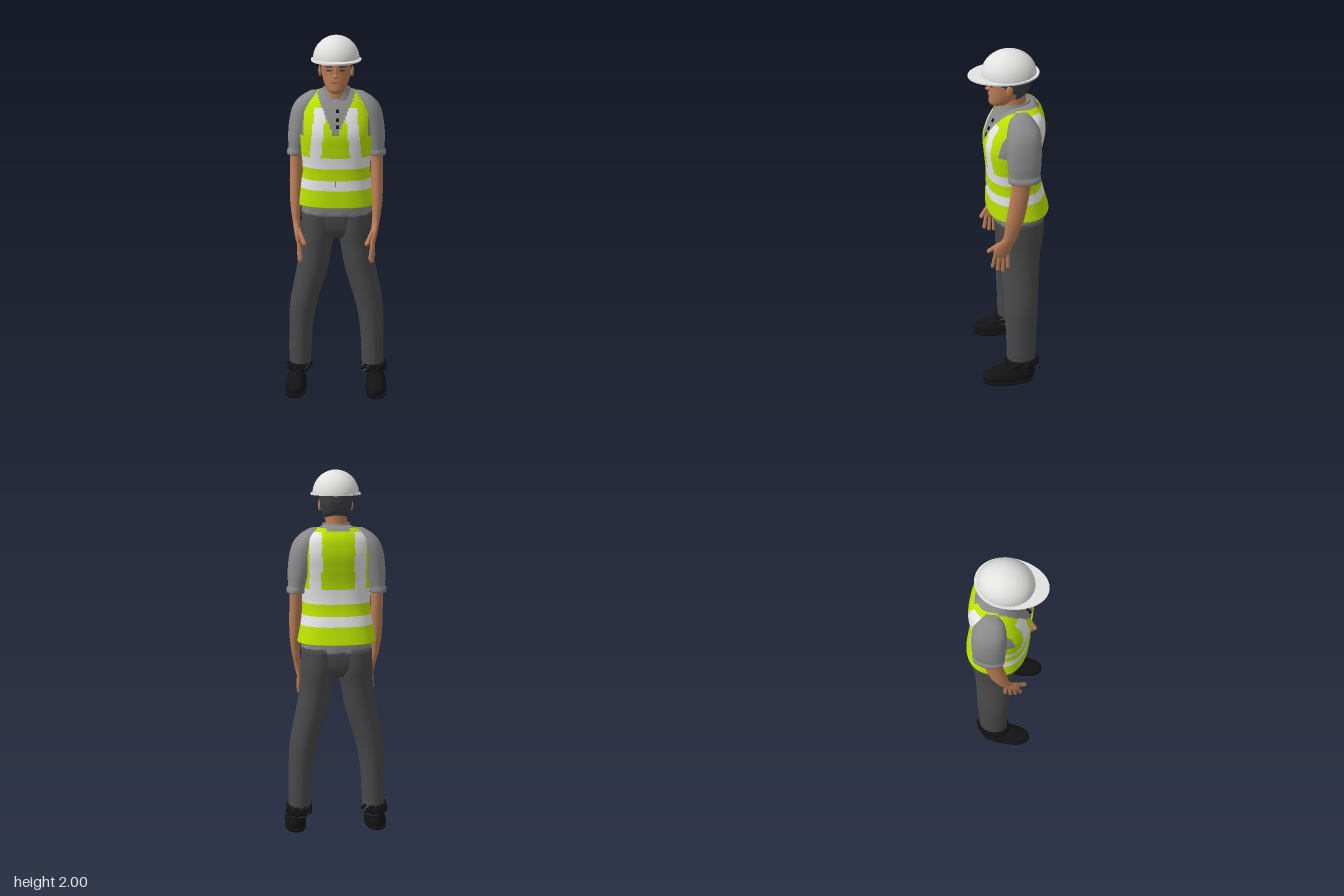
import * as THREE from 'three';

const mat = (name, color, side = THREE.FrontSide) => {
  const m = new THREE.MeshStandardMaterial({ color, side });
  m.name = name;
  return m;
};

// Smooth interpolation of a key table [y, cx, halfWidth, zFront, zBack]
function sample(keys, y) {
  let i = 0;
  while (i < keys.length - 2 && y > keys[i + 1][0]) i++;
  const a = keys[i], b = keys[i + 1], p = keys[i - 1] || a, n = keys[i + 2] || b;
  const h = b[0] - a[0], t = (y - a[0]) / h;
  return a.map((v, k) => {
    if (k === 0) return y;
    const m0 = (b[k] - p[k]) / (b[0] - p[0]) * h, m1 = (n[k] - a[k]) / (n[0] - a[0]) * h;
    return (2 * t ** 3 - 3 * t * t + 1) * v + (t ** 3 - 2 * t * t + t) * m0
      + (3 * t * t - 2 * t ** 3) * b[k] + (t ** 3 - t * t) * m1;
  });
}

// Stack of rounded horizontal rings; paint() picks a material index, -1 leaves a hole
function loft(name, mats, keys, { from = keys[0][0], to = keys.at(-1)[0], step = 0.015, seg = 32,
  pow = 1, paint = () => 0, capTop = true, capBottom = true, ripple = () => 1 } = {}) {
  const rows = Math.max(1, Math.round((to - from) / step)), pos = [], faces = mats.map(() => []);
  const bend = v => Math.sign(v) * Math.abs(v) ** pow;
  for (let i = 0; i <= rows; i++) {
    const y = from + (to - from) * i / rows, [, cx, hw, zf, zb] = sample(keys, y);
    for (let j = 0; j < seg; j++) {
      const a = j / seg * Math.PI * 2, r = ripple(j, i);
      pos.push(cx + hw * r * bend(Math.cos(a)), y, (zf + zb) / 2 + (zf - zb) / 2 * r * bend(Math.sin(a)));
    }
  }
  for (let i = 0; i < rows; i++) for (let j = 0; j < seg; j++) {
    const a = i * seg + j, b = i * seg + (j + 1) % seg, c = a + seg, d = b + seg;
    const mid = k => (pos[a * 3 + k] + pos[b * 3 + k] + pos[c * 3 + k] + pos[d * 3 + k]) / 4;
    const m = paint(mid(0), mid(1), mid(2));
    if (m >= 0) faces[m].push(a, c, b, b, c, d);
  }
  const cap = (row, up) => {
    const [y, cx, , zf, zb] = sample(keys, up ? to : from), c = pos.length / 3;
    pos.push(cx, y, (zf + zb) / 2);
    for (let j = 0; j < seg; j++) {
      const a = row * seg + j, b = row * seg + (j + 1) % seg;
      faces[0].push(...(up ? [c, b, a] : [c, a, b]));
    }
  };
  if (capBottom) cap(0, false);
  if (capTop) cap(rows, true);
  const g = new THREE.BufferGeometry();
  g.setAttribute('position', new THREE.Float32BufferAttribute(pos, 3));
  g.setIndex(faces.flat());
  let start = 0;
  faces.forEach((f, k) => { g.addGroup(start, f.length, k); start += f.length; });
  g.computeVertexNormals();
  const mesh = new THREE.Mesh(g, mats.length > 1 ? mats : mats[0]);
  mesh.name = name;
  return mesh;
}

export function createModel() {
  const root = new THREE.Group();
  root.name = 'worker';
  const helmetWhite = mat('helmet white', 0xe2e3e1), lime = mat('vest lime', 0xb9e000, THREE.DoubleSide);
  const strip = mat('reflective strip', 0xe4e4e6, THREE.DoubleSide), grey = mat('shirt grey', 0x8a8a8a, THREE.DoubleSide);
  const charcoal = mat('trouser charcoal', 0x484848), black = mat('boot black', 0x131313, THREE.DoubleSide);
  const skin = mat('skin', 0xb97c55), hairDark = mat('hair', 0x3b3e40, THREE.DoubleSide), lip = mat('lips', 0x9a5c45);
  const add = (...m) => root.add(...m);
  const put = (name, geo, m, x, y, z, sx = 1, sy = 1, sz = 1) => {
    const mesh = new THREE.Mesh(geo, m);
    mesh.name = name;
    mesh.position.set(x, y, z);
    mesh.scale.set(sx, sy, sz);
    add(mesh);
    return mesh;
  };
  const box = new THREE.BoxGeometry(1, 1, 1), ball = new THREE.SphereGeometry(1, 20, 14);

  // Vest with painted bands, shoulder stripes, neck and arm openings
  const torso = [[1.08, 0, .215, .125, -.215], [1.18, 0, .196, .122, -.188], [1.28, 0, .184, .12, -.165],
    [1.4, 0, .194, .13, -.165], [1.48, 0, .2, .134, -.178], [1.55, 0, .2, .115, -.19], [1.6, 0, .188, .092, -.19],
    [1.65, 0, .163, .062, -.18], [1.69, 0, .115, .03, -.155], [1.71, 0, .08, .02, -.135]];
  const vestPaint = (x, y, z) => {
    const ax = Math.abs(x);
    if (y < 1.355) return y < 1.175 || (y > 1.23 && y < 1.295) ? 0 : 1;
    if (y > 1.47 && ax > .172) return -1;
    if (z > -.03) {
      if (y > 1.46 && ax < (y - 1.46) * .45) return -1;
      const lean = .1 * (y - 1.355);
      return y < 1.62 && ax > .078 - lean && ax < .14 - lean ? 1 : 0;
    }
    if (y > 1.685 && ax < .06) return -1;
    return y < 1.375 || (y < 1.68 && ax > .088 && ax < .152) ? 1 : 0;
  };
  add(loft('safetyVest', [lime, strip], torso, { step: .005, seg: 128, pow: .8, paint: vestPaint, to: 1.7, capTop: false }));
  put('vestZip', box, grey, 0, 1.215, .1225, .005, .03, .004);

  // Shirt body, collar, placket and buttons
  const inner = torso.map(([y, c, w, f, b]) => [y, c, w - .008, f - .008, b + .008]);
  inner[0] = [1.08, 0, .192, .105, -.182];
  add(loft('shirt', [grey], [[1.025, 0, .19, .095, -.178], ...inner], { seg: 64, pow: .8,
    ripple: (j, i) => i < 2 ? 1 + .018 * Math.sin(j * 1.3) : 1 }));
  add(loft('shirtCollar', [grey], [[1.655, 0, .1, .062, -.15], [1.69, 0, .082, .052, -.125], [1.72, 0, .072, .045, -.11]],
    { step: .005, seg: 64, capTop: false, capBottom: false,
      paint: (x, y, z) => z > 0 && Math.abs(x) < (y - 1.645) * .8 ? -1 : 0 }));
  for (const y of [1.605, 1.56, 1.525]) {
    const z = sample(inner, y)[3];
    put('shirtButton', box, black, .01, y, z + .002, .016, .018, .008).rotation.x = -.5;
  }

  // Trouser seat
  add(loft('trouserSeat', [charcoal], [[.89, 0, .1, .03, -.13], [.93, 0, .17, .058, -.165], [1, 0, .185, .07, -.178],
    [1.06, 0, .184, .075, -.175]], { seg: 48, pow: .9 }));

  for (const s of [1, -1]) {
    const side = s > 0 ? 'left' : 'right';
    const flip = keys => keys.map(([y, c, ...r]) => [y, c * s, ...r]);
    // Leg
    add(loft(side + 'TrouserLeg', [charcoal], flip([[.09, .205, .062, .038, -.128], [.2, .206, .064, .039, -.129],
      [.35, .2, .067, .043, -.133], [.5, .184, .077, .05, -.14], [.7, .135, .088, .057, -.152],
      [.85, .11, .09, .063, -.165], [.93, .1, .098, .07, -.18], [1.05, .095, .097, .072, -.182]]), { step: .03 }));
    // Boot with sole and ragged cuff
    add(loft(side + 'Boot', [black], flip([[.018, .226, .056, .176, -.115], [.04, .226, .058, .18, -.12], [.06, .225, .054, .168, -.12],
      [.085, .222, .046, .1, -.118], [.11, .215, .047, .05, -.118], [.15, .208, .05, .04, -.12]]), { step: .008, pow: .85 }));
    add(loft(side + 'BootSole', [black], flip([[0, .228, .059, .178, -.115], [.02, .228, .06, .182, -.12]]), { step: .02, pow: .85 }));
    add(loft(side + 'BootCuff', [black], flip([[.1, .212, .068, .045, -.14], [.125, .212, .07, .05, -.142], [.15, .208, .066, .04, -.13]]),
      { step: .0125, seg: 24, ripple: (j, i) => 1 + .1 * Math.sin(j * 2.4 + i * 1.7) }));
    // Sleeve with a turned hem
    add(loft(side + 'Sleeve', [grey], flip([[1.35, .222, .049, .03, -.14], [1.375, .22, .049, .032, -.141], [1.38, .217, .046, .029, -.138],
      [1.45, .205, .06, .034, -.144], [1.55, .185, .07, .035, -.148], [1.62, .163, .07, .028, -.14],
      [1.665, .138, .055, .01, -.115], [1.695, .118, .025, -.025, -.085]]), { step: .0075, pow: .92 }));
    // Arm and palm
    add(loft(side + 'Arm', [skin], flip([[.86, .2, .012, .1, .025], [.89, .203, .017, .112, .018], [.94, .211, .019, .098, .004],
      [.985, .218, .021, .062, -.014], [1.02, .221, .024, .054, -.024], [1.1, .223, .031, .044, -.05], [1.2, .222, .034, .028, -.07],
      [1.3, .221, .034, .014, -.085], [1.4, .22, .036, .01, -.095]]), { seg: 24 }));
    // Fingers and thumb
    const finger = (name, ax, ay, az, bx, by, bz, r) => {
      const a = new THREE.Vector3(ax * s, ay, az), d = new THREE.Vector3(bx * s, by, bz).sub(a);
      const m = put(name, new THREE.CapsuleGeometry(r, d.length() - r, 4, 10), skin, 0, 0, 0);
      m.position.copy(a).addScaledVector(d, .5);
      m.quaternion.setFromUnitVectors(new THREE.Vector3(0, 1, 0), d.normalize());
    };
    for (let i = 0; i < 4; i++)
      finger(side + 'Finger', .202, .885, .032 + i * .022, .207 - i * .006, [.79, .765, .77, .79][i], .03 + i * .028, .0105);
    finger(side + 'Thumb', .205, .95, .075, .168, .88, .135, .012);
    // Ear, eye and brow
    put(side + 'Ear', ball, skin, s * .086, 1.81, .005, .01, .03, .018);
    put(side + 'Eye', box, hairDark, s * .034, 1.823, .094, .026, .008, .006).rotation.y = s * .3;
    put(side + 'Brow', box, hairDark, s * .036, 1.843, .095, .036, .008, .008).rotation.y = s * .3;
  }

  // Neck, head, nose, mouth
  add(loft('neck', [skin], [[1.62, 0, .075, .04, -.12], [1.68, 0, .062, .045, -.1], [1.73, 0, .058, .042, -.092], [1.79, 0, .06, .04, -.095]]));
  const head = [[1.698, 0, .024, .088, .02], [1.71, 0, .043, .102, -.01], [1.735, 0, .058, .104, -.05], [1.765, 0, .07, .102, -.088],
    [1.81, 0, .079, .099, -.11], [1.85, 0, .083, .102, -.117], [1.9, 0, .08, .095, -.112], [1.94, 0, .05, .06, -.08]];
  add(loft('head', [skin], head, { step: .008, pow: .92 }));
  put('nose', ball, skin, 0, 1.792, .1, .014, .012, .021);
  put('noseBridge', ball, skin, 0, 1.812, .098, .009, .03, .011);
  put('mouth', box, lip, 0, 1.757, .102, .042, .008, .006);

  // Short hair around the back and temples
  add(loft('hair', [hairDark], head.map(([y, c, w, f, b]) => [y, c, w + .006, f, b - .006]), { from: 1.75, to: 1.9, step: .005, seg: 64,
    pow: .92, capTop: false, capBottom: false,
    paint: (x, y, z) => z < (y > 1.83 ? .045 : y > 1.79 ? .02 : -.03) ? 0 : -1 }));

  // Hard hat: dome and peaked brim
  put('helmetDome', new THREE.SphereGeometry(1, 40, 20, 0, Math.PI * 2, 0, Math.PI / 2), helmetWhite, 0, 1.872, -.003, .125, .128, .143);
  const rim = [];
  for (let i = 0; i < 48; i++) {
    const a = i / 48 * Math.PI * 2, sn = Math.sin(a);
    rim.push(new THREE.Vector2(.135 * Math.cos(a), sn > 0 ? .21 * sn : .16 * sn));
  }
  const brim = new THREE.ExtrudeGeometry(new THREE.Shape(rim), { depth: .008, bevelEnabled: false });
  brim.rotateX(Math.PI / 2);
  put('helmetBrim', brim, helmetWhite, 0, 1.876, 0).rotation.x = .02;
  return root;
}
